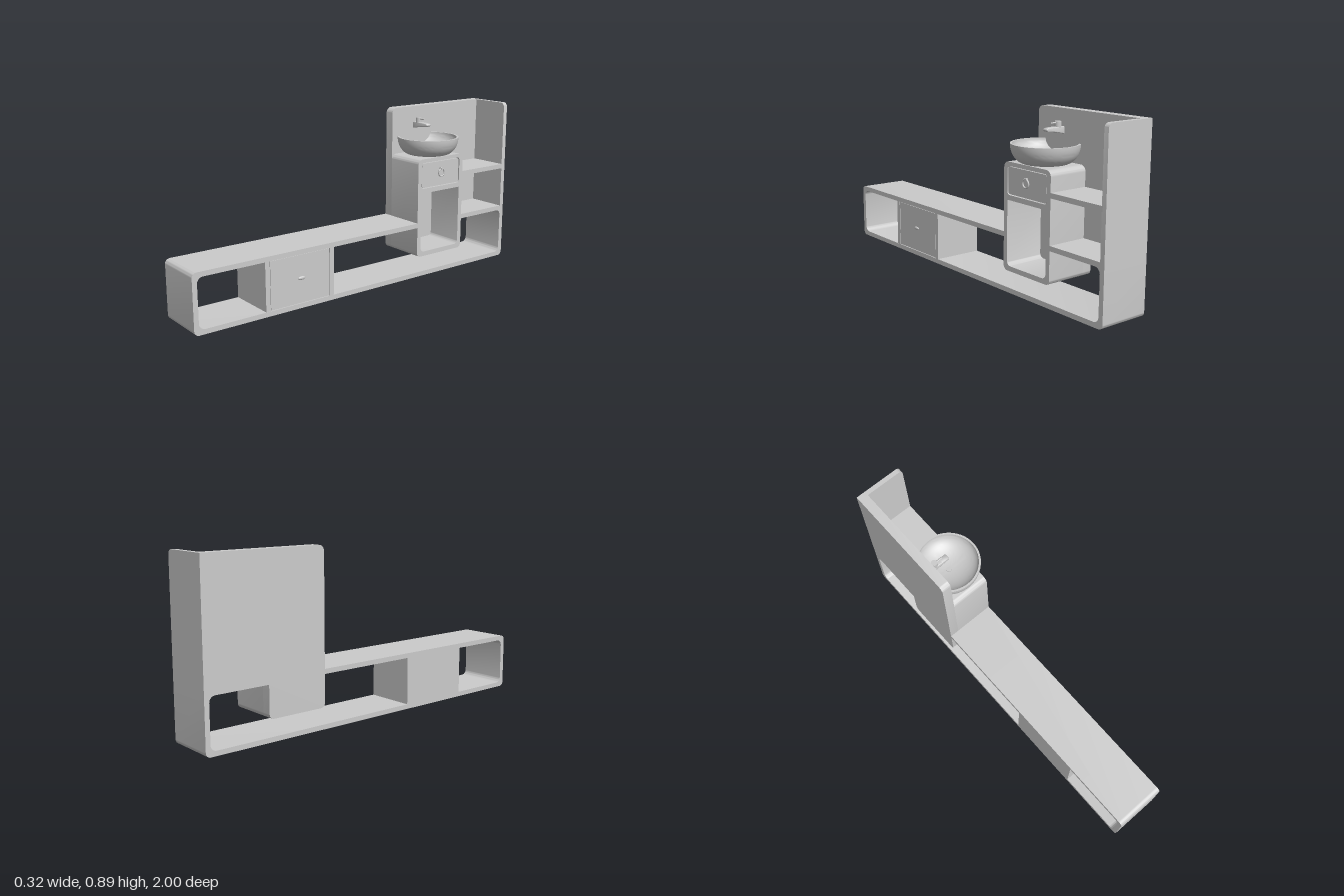
import * as THREE from 'three';
import { toCreasedNormals } from 'three/addons/utils/BufferGeometryUtils.js';

const material = new THREE.MeshStandardMaterial({ color: 0xcccccc });
const BACK = -0.16, WALL = -0.11, FRONT = 0.105;

// Closed outline with corners given as [x, y, radius]
function outline(points, PathType = THREE.Shape) {
  const path = new PathType();
  const n = points.length;
  points.forEach(([x, y, r = 0], i) => {
    const p = new THREE.Vector2(x, y);
    const toward = (q) => new THREE.Vector2(q[0], q[1]).sub(p).normalize();
    const a = toward(points[(i + n - 1) % n]), b = toward(points[(i + 1) % n]);
    const s = p.clone().addScaledVector(a, r), e = p.clone().addScaledVector(b, r);
    if (i === 0) path.moveTo(s.x, s.y); else path.lineTo(s.x, s.y);
    if (r > 0) {
      const c1 = p.clone().addScaledVector(a, r * 0.45), c2 = p.clone().addScaledVector(b, r * 0.45);
      path.bezierCurveTo(c1.x, c1.y, c2.x, c2.y, e.x, e.y);
    }
  });
  path.closePath();
  return path;
}

const rect = (u0, u1, y0, y1, rBottom = 0, rTop = rBottom) =>
  [[u0, y0, rBottom], [u1, y0, rBottom], [u1, y1, rTop], [u0, y1, rTop]];

// Extrudes an outline drawn in (u = -z, y) along x from x0 to x1
function slab(points, x0, x1, holes = []) {
  const shape = outline(points);
  shape.holes = holes.map((h) => outline(h, THREE.Path));
  const g = new THREE.ExtrudeGeometry(shape, { depth: x1 - x0, bevelEnabled: false, curveSegments: 10 });
  g.rotateY(Math.PI / 2).translate(x0, 0, 0);
  return toCreasedNormals(g, 0.6);
}

export function createModel() {
  const model = new THREE.Group();
  const add = (name, geometry, parent = model) => {
    const mesh = new THREE.Mesh(geometry, material);
    mesh.name = name;
    parent.add(mesh);
    return mesh;
  };

  // Long open bench frame, its top board interrupted by the vanity
  add('benchFrame', slab([
    [-1, 0, 0.025], [1, 0, 0.025], [1, 0.3], [0.66, 0.3], [0.66, 0.275],
    [0.975, 0.275, 0.03], [0.975, 0.025, 0.03], [-0.975, 0.025, 0.03], [-0.975, 0.275, 0.03],
    [0.335, 0.275], [0.335, 0.3], [-1, 0.3, 0.025],
  ], BACK, FRONT));

  // Back panel behind vanity and shelves
  add('backPanel', slab([
    [0.335, 0.11, 0.025], [0.66, 0.11, 0.025], [0.66, 0.275], [0.98, 0.275],
    [0.98, 0.895], [0.335, 0.895, 0.03],
  ], BACK, WALL));

  // Tall side panel with a rounded front top corner
  const side = new THREE.ExtrudeGeometry(
    outline([[BACK, 0.3], [FRONT, 0.3], [FRONT, 0.895, 0.025], [BACK, 0.895]]),
    { depth: 0.025, bevelEnabled: false, curveSegments: 10 });
  add('sidePanel', toCreasedNormals(side.translate(0, 0, -1), 0.6));

  // Shelf between vanity and side panel
  add('shelf', slab(rect(0.65, 0.98, 0.52, 0.545), WALL, FRONT));

  // Vanity carcass with drawer opening and open niche
  add('vanity', slab(rect(0.335, 0.66, 0.11, 0.645, 0.025, 0.03), WALL, FRONT, [
    rect(0.36, 0.635, 0.485, 0.625, 0.015),
    rect(0.36, 0.635, 0.135, 0.46, 0.025, 0),
  ]));
  add('vanityDrawer', slab(rect(0.364, 0.631, 0.489, 0.621, 0.012), WALL, FRONT - 0.003));

  // Ring pull on the vanity drawer
  const pull = new THREE.Group();
  pull.name = 'ringPull';
  pull.position.set(FRONT, 0.56, -0.497);
  add('pullRing', new THREE.TorusGeometry(0.02, 0.004, 10, 32).rotateY(Math.PI / 2).translate(0.006, 0, 0), pull);
  add('pullMount', new THREE.BoxGeometry(0.014, 0.012, 0.014).translate(0.004, 0.02, 0), pull);
  model.add(pull);

  // Bench cupboard
  const cupboard = new THREE.Group();
  cupboard.name = 'benchCupboard';
  for (const u of [-0.62, -0.245]) add('cupboardSide', slab(rect(u, u + 0.025, 0.02, 0.28), BACK, FRONT - 0.001), cupboard);
  add('cupboardBack', slab(rect(-0.6, -0.24, 0.02, 0.28), BACK, BACK + 0.02), cupboard);
  add('cupboardDoor', slab(rect(-0.592, -0.248, 0.027, 0.273), FRONT - 0.025, FRONT - 0.002), cupboard);
  const knob = add('cupboardKnob', new THREE.SphereGeometry(1, 20, 14), cupboard);
  knob.scale.set(0.006, 0.009, 0.021);
  knob.position.set(0.108, 0.156, -(-0.418));
  add('cupboardKnobStem', new THREE.CylinderGeometry(0.005, 0.005, 0.012, 12)
    .rotateZ(Math.PI / 2).translate(0.104, 0.156, 0.418), cupboard);
  model.add(cupboard);

  // Round basin: outer wall, rim and inner wall, ending inside the back panel
  const profile = [];
  const N = 16, H = 0.095;
  profile.push(new THREE.Vector2(0, 0));
  for (let i = 0; i <= N; i++) {
    const a = (i / N) * Math.PI / 2;
    profile.push(new THREE.Vector2(0.095 + 0.07 * Math.sin(a), H * (1 - Math.cos(a))));
  }
  for (let i = N; i >= 0; i--) {
    const a = (i / N) * Math.PI / 2;
    profile.push(new THREE.Vector2(0.155 * Math.sin(a), 0.01 + (H - 0.01) * (1 - Math.cos(a))));
  }
  const bowl = toCreasedNormals(new THREE.LatheGeometry(profile, 64), 0.6);
  bowl.translate(-0.005, 0.645, -0.5);
  const pos = bowl.attributes.position;
  for (let i = 0; i < pos.count; i++) pos.setX(i, Math.max(pos.getX(i), -0.135));
  add('basin', bowl);
  add('drain', new THREE.CylinderGeometry(0.014, 0.014, 0.004, 24).translate(-0.005, 0.657, -0.5));

  // Wall-mounted tap
  const tap = new THREE.Group();
  tap.name = 'tap';
  const spoutShape = outline([
    [-0.115, 0.777], [-0.06, 0.788, 0.015], [-0.004, 0.795, 0.004], [-0.004, 0.804, 0.004],
    [-0.035, 0.807, 0.01], [-0.115, 0.807],
  ]);
  const spout = new THREE.ExtrudeGeometry(spoutShape, {
    depth: 0.022, bevelThickness: 0.004, bevelSize: 0.003, bevelSegments: 3, curveSegments: 8,
  });
  add('tapSpout', toCreasedNormals(spout.translate(0, 0, -0.511), 0.8), tap);
  add('tapBody', new THREE.CylinderGeometry(0.016, 0.016, 0.03, 24).translate(-0.082, 0.82, -0.5), tap);
  add('tapLever', new THREE.CylinderGeometry(0.004, 0.004, 0.045, 12)
    .rotateZ(Math.PI / 2).translate(-0.058, 0.828, -0.5), tap);
  model.add(tap);

  return model;
}
